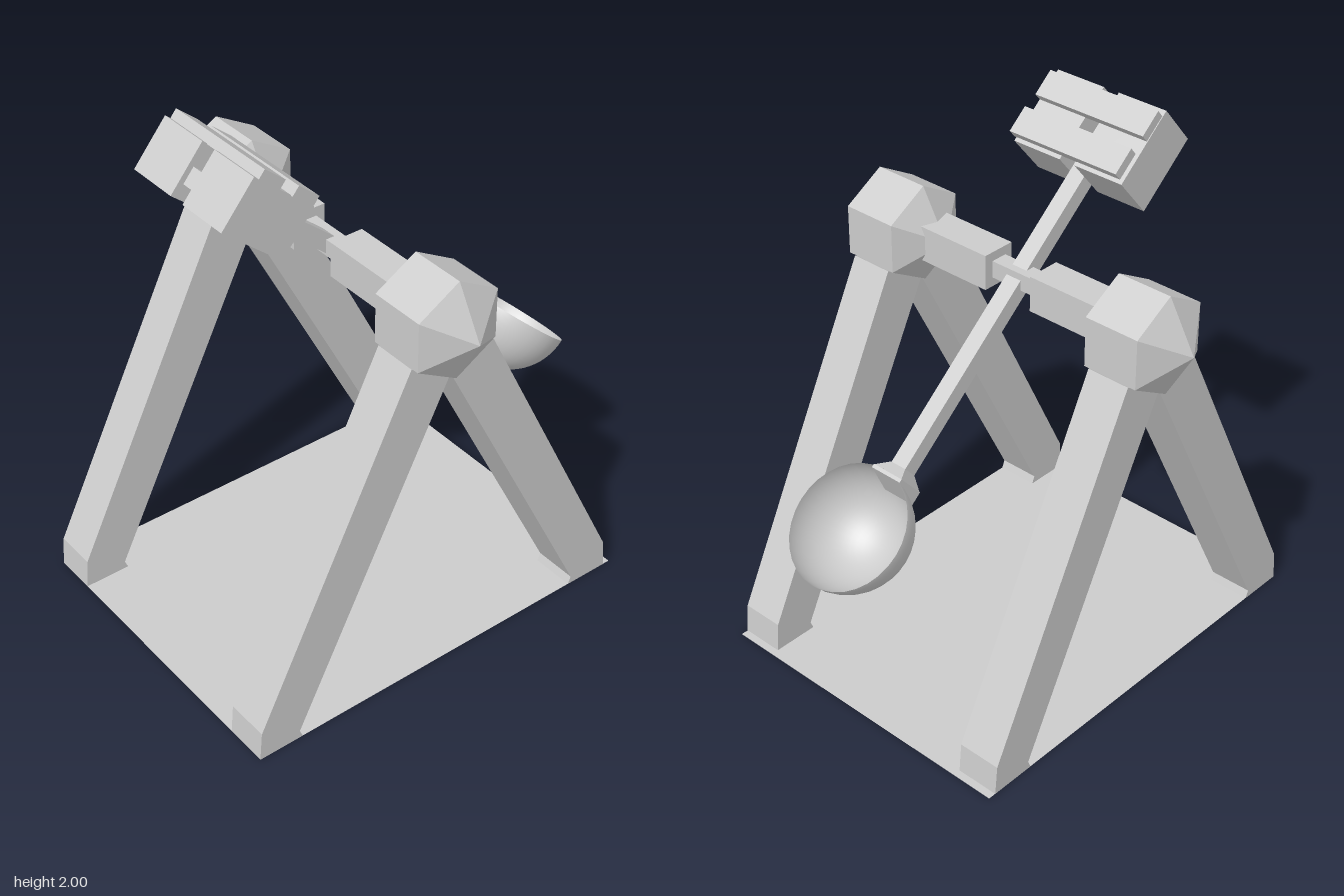
import * as THREE from 'three';

const flat = new THREE.MeshStandardMaterial({ color: 0xcccccc, flatShading: true });
const thin = new THREE.MeshStandardMaterial({ color: 0xcccccc, side: THREE.DoubleSide });

function add(parent, name, geometry, material = flat) {
  const mesh = new THREE.Mesh(geometry, material);
  mesh.name = name;
  parent.add(mesh);
  return mesh;
}

// Box given by its extents on each axis
function box(parent, name, [x0, x1], [y0, y1], [z0, z1]) {
  const g = new THREE.BoxGeometry(x1 - x0, y1 - y0, z1 - z0);
  g.translate((x0 + x1) / 2, (y0 + y1) / 2, (z0 + z1) / 2);
  return add(parent, name, g);
}

// Side profile of [z, y] points, extruded across x and centred on x = 0
function sidePlate(points, width) {
  const shape = new THREE.Shape(points.map(([z, y]) => new THREE.Vector2(z, y)));
  const g = new THREE.ExtrudeGeometry(shape, { depth: width, bevelEnabled: false });
  g.translate(0, 0, -width / 2);
  g.rotateY(-Math.PI / 2);
  return g;
}

export function createModel() {
  const model = new THREE.Group();
  model.name = 'catapult';
  const pivotY = 1.45, pivotZ = 0.1;

  // Ground sheet
  const base = new THREE.PlaneGeometry(1.265, 1.63);
  base.rotateX(-Math.PI / 2);
  base.translate(0, 0, 0.085);
  add(model, 'base', base, thin);

  // Leg profile relative to the pivot, mirrored front to back
  const leg = [[0.62, 0], [0.8, 0], [0.79, 0.115], [0.165, 1.355], [0, 1.265], [0.632, 0.03]];
  // Six-sided hub, pointed at both ends
  const hub = new THREE.LatheGeometry(
    [[0, -0.215], [0.188, -0.108], [0.188, 0.108], [0, 0.215]].map(p => new THREE.Vector2(...p)),
    6, Math.PI / 2);
  hub.rotateZ(Math.PI / 2);

  for (const side of [-1, 1]) {
    const frame = new THREE.Group();
    frame.name = side < 0 ? 'rightFrame' : 'leftFrame';
    model.add(frame);
    for (const dir of [1, -1]) {
      const m = add(frame, dir > 0 ? 'frontLeg' : 'backLeg',
        sidePlate(leg.map(([z, y]) => [z * dir, y]), 0.168));
      m.position.set(side * 0.549, 0, pivotZ);
    }
    add(frame, 'hub', hub).position.set(side * 0.553, pivotY, pivotZ);
  }

  // Axle: thick square ends and a thin middle
  box(model, 'rightAxleEnd', [-0.42, -0.115], [1.385, 1.52], [0.037, 0.17]);
  box(model, 'leftAxleEnd', [0.09, 0.42], [1.385, 1.52], [0.037, 0.17]);
  box(model, 'axle', [-0.13, 0.105], [1.42, 1.485], [0.073, 0.138]);

  // Throwing arm, built along z and tilted about the axle
  const arm = new THREE.Group();
  arm.name = 'throwingArm';
  arm.position.set(0, 1.44, pivotZ);
  arm.rotation.x = -THREE.MathUtils.degToRad(40.2);
  model.add(arm);
  box(arm, 'beam', [-0.04, 0.025], [-0.032, 0.032], [-0.8, 0.69]);

  // Counterweights and the straps across them
  box(arm, 'rightWeight', [-0.248, -0.04], [-0.083, 0.116], [0.415, 0.712]);
  box(arm, 'leftWeight', [0.026, 0.235], [-0.083, 0.116], [0.415, 0.712]);
  box(arm, 'upperStrap', [-0.245, 0.235], [0.114, 0.152], [0.587, 0.689]);
  box(arm, 'lowerStrap', [-0.232, 0.245], [0.114, 0.154], [0.43, 0.533]);

  // Flared collar joining beam and cup
  const flare = new THREE.CylinderGeometry(0.033 * Math.SQRT2, 0.066 * Math.SQRT2, 0.04, 4, 1);
  flare.rotateY(Math.PI / 4);
  flare.rotateX(Math.PI / 2);
  add(arm, 'collarFlare', flare).position.set(-0.007, 0, -0.782);
  add(arm, 'collar', sidePlate(
    [[-0.8, -0.066], [-0.8, 0.066], [-0.813, 0.066], [-0.85, -0.066]].reverse(), 0.132))
    .position.x = -0.007;

  // Open hemispherical cup
  const cup = new THREE.SphereGeometry(0.229, 32, 16, 0, Math.PI * 2, Math.PI / 2, Math.PI / 2);
  add(arm, 'cup', cup, thin).position.set(0.015, 0.066, -1.028);

  return model;
}
